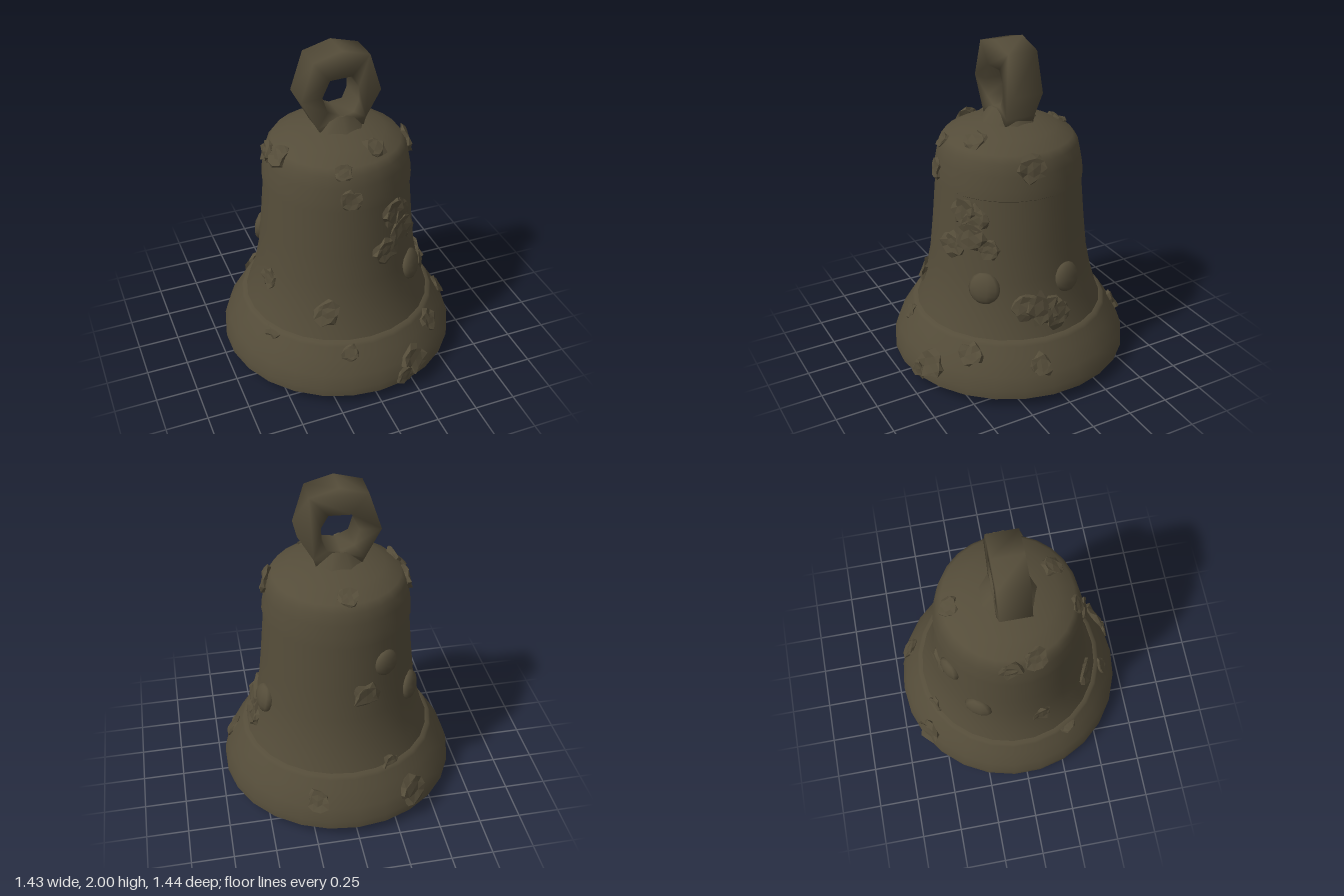
import * as THREE from 'three';
import { mergeVertices } from 'three/addons/utils/BufferGeometryUtils.js';

export function createModel() {
  const group = new THREE.Group();
  const bronze = new THREE.MeshStandardMaterial({ color: 0x544c39 });
  bronze.name = 'old bronze';

  // Seeded noise so the crust is the same every time
  let seed = 7;
  const rand = () => (seed = (seed * 16807) % 2147483647) / 2147483647;

  const add = (name, geometry, parent = group) => {
    const mesh = new THREE.Mesh(geometry, bronze);
    mesh.name = name;
    parent.add(mesh);
    return mesh;
  };
  const lathe = (name, profile, sides = 26) =>
    add(name, new THREE.LatheGeometry(profile.map(([r, y]) => new THREE.Vector2(r, y)), sides));

  // Bell shell: outside profiles run upward, inside runs downward
  const rim = [[0.72, 0.07], [0.718, 0.12], [0.69, 0.2], [0.64, 0.285], [0.602, 0.345]];
  const waist = [[0.575, 0.35], [0.54, 0.44], [0.505, 0.56], [0.476, 0.7], [0.455, 0.9], [0.43, 1.19]];
  const crown = [[0.44, 1.195], [0.435, 1.25], [0.42, 1.33], [0.405, 1.4], [0.375, 1.44], [0.28, 1.49], [0.15, 1.53], [0, 1.545]];
  lathe('rim', rim);
  lathe('rimLedge', [[0.602, 0.345], [0.59, 0.365], [0.565, 0.372]]);
  lathe('waist', waist);
  lathe('crownLedge', [[0.425, 1.185], [0.44, 1.195]]);
  lathe('crown', crown);
  lathe('lip', [[0.675, 0.07], [0.72, 0.07]]);
  lathe('inside', [[0, 1.45], [0.28, 1.41], [0.36, 1.32], [0.39, 1.15], [0.42, 0.8], [0.47, 0.56], [0.55, 0.35], [0.635, 0.18], [0.675, 0.07]]);

  // Clapper with a blunt end
  lathe('clapper', [[0, 0.005], [0.05, 0.02], [0.085, 0.06], [0.088, 0.12], [0.075, 0.3], [0.06, 0.6], [0.05, 1.43]], 10);

  // Hanging loop
  const outline = [[0.125, 1.5], [0.145, 1.57], [0.235, 1.73], [0.165, 1.955], [0, 2], [-0.165, 1.955],
    [-0.24, 1.73], [-0.145, 1.55], [-0.12, 1.5]];
  const hole = [[-0.01, 1.61], [-0.085, 1.645], [-0.115, 1.74], [-0.07, 1.835], [0.06, 1.84], [0.1, 1.77], [0.1, 1.69], [0.07, 1.62]];
  const toPoints = (list) => list.map(([x, y]) => new THREE.Vector2(x, y));
  const loopShape = new THREE.Shape(toPoints(outline));
  loopShape.holes.push(new THREE.Path(toPoints(hole)));
  let loop = new THREE.ExtrudeGeometry(loopShape, { depth: 0.18, bevelEnabled: false });
  loop.translate(0, 0, -0.09);
  loop.deleteAttribute('normal');
  loop.deleteAttribute('uv');
  loop = mergeVertices(loop);
  loop.computeVertexNormals();
  add('hangingLoop', loop);
  const foot = new THREE.CylinderGeometry(0.1, 0.18, 0.1, 9);
  foot.translate(0, 1.555, 0);
  add('loopFoot', foot);

  // Surface radius and slope at a given height, for seating the growths
  const profile = [...rim, ...waist, ...crown];
  const surface = (y) => {
    let i = 1;
    while (i < profile.length - 1 && profile[i][1] < y) i++;
    const [r0, y0] = profile[i - 1], [r1, y1] = profile[i];
    return { r: r0 + (r1 - r0) * (y - y0) / (y1 - y0), tilt: Math.atan2(r0 - r1, y1 - y0) };
  };
  const seat = (object, degrees, y) => {
    const a = THREE.MathUtils.degToRad(degrees), { r, tilt } = surface(y);
    object.position.set(Math.sin(a) * r, y, Math.cos(a) * r);
    object.rotation.set(-tilt, a, 0, 'YXZ');
  };

  // Crumpled growth: a low ragged ring of folds around a sunken centre
  const crust = (degrees, y, size) => {
    const geometry = mergeVertices(new THREE.IcosahedronGeometry(1, 1).deleteAttribute('uv').deleteAttribute('normal'));
    const p = geometry.attributes.position;
    for (let i = 0; i < p.count; i++) {
      const k = 0.7 + rand() * 0.55;
      const x = p.getX(i) * k, v = p.getY(i) * k;
      const dip = p.getZ(i) > 0.8 ? 0.45 : 1;
      p.setXYZ(i, x * size, v * size, p.getZ(i) * size * 0.5 * dip * k);
    }
    const faceted = geometry.toNonIndexed();
    faceted.computeVertexNormals();
    seat(add('crust', faceted), degrees, y);
  };
  [
    [26, 1.1, 0.08], [36, 1.07, 0.08], [17, 0.88, 0.08], [33, 0.96, 0.09], [47, 0.9, 0.06],
    [333, 0.54, 0.085], [346, 0.32, 0.05], [21, 0.18, 0.09], [350, 1.27, 0.06], [25, 1.48, 0.07],
    [282, 1.43, 0.07], [80, 1.37, 0.08], [78, 0.25, 0.07], [42, 0.3, 0.07], [14, 0.12, 0.06],
    [84, 0.53, 0.1], [95, 0.48, 0.09], [74, 0.55, 0.08], [160, 0.24, 0.07], [191, 0.86, 0.08],
    [285, 0.62, 0.065], [211, 0.2, 0.09], [262, 1.38, 0.07], [300, 0.35, 0.06], [204, 0.36, 0.06],
    [345, 1.42, 0.05], [180, 1.46, 0.06],
  ].forEach((c) => crust(...c));

  // Smooth blisters
  [[45, 0.66, 0.095], [106, 0.67, 0.09], [209, 1.03, 0.08], [237, 0.74, 0.09]].forEach(([degrees, y, size]) => {
    const blister = add('blister', new THREE.SphereGeometry(size, 10, 8));
    blister.scale.z = 0.45;
    seat(blister, degrees, y);
  });

  return group;
}
